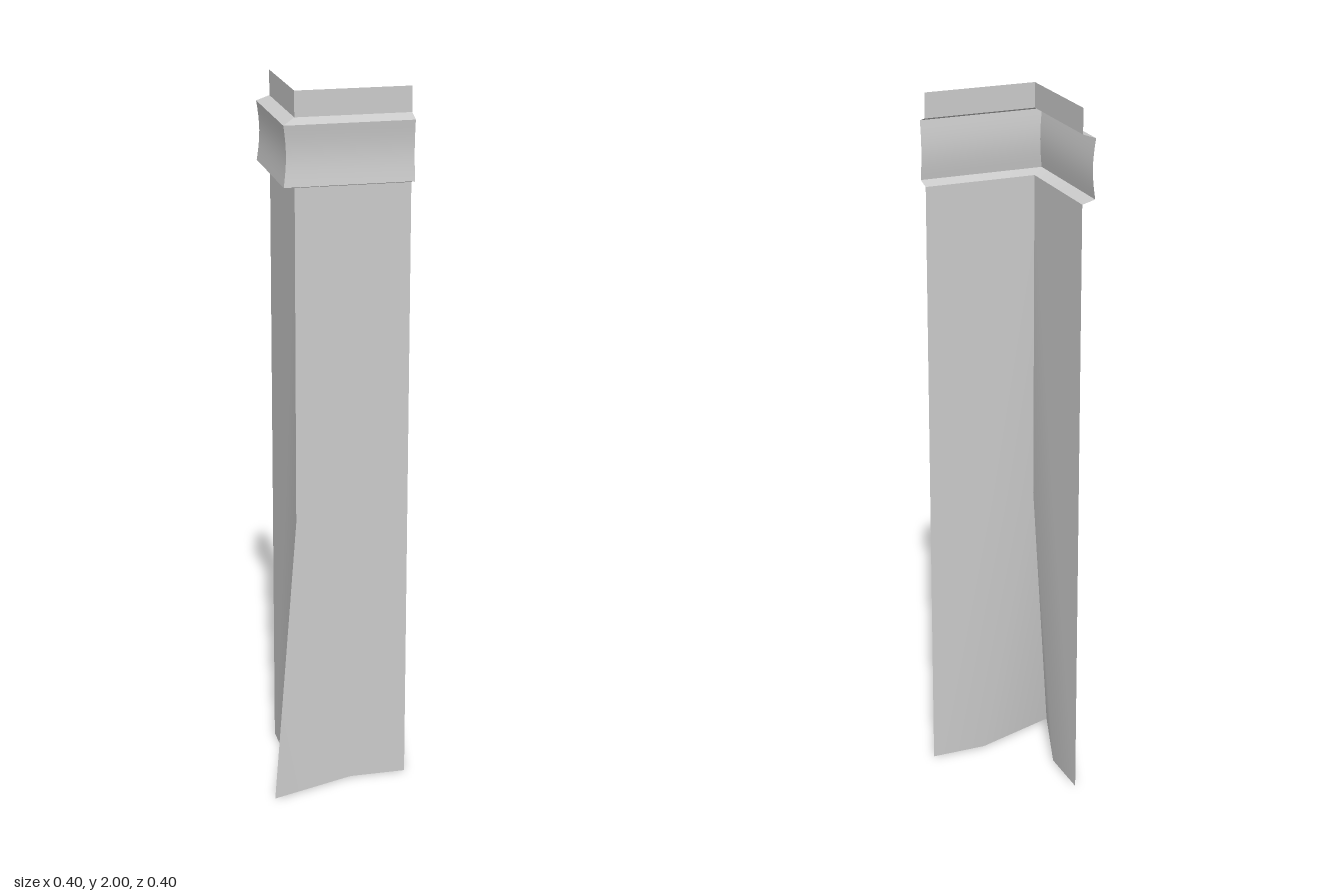
import * as THREE from 'three';
import { toCreasedNormals } from 'three/addons/utils/BufferGeometryUtils.js';

const WALL = 0.117; // distance of each wall from the centre
const RIM = 0.154;  // distance of the moulding's lips
const END = 0.2;    // free ends of the two walls
const FOLD = 0.04;  // where the flared foot begins

const material = new THREE.MeshStandardMaterial({ color: 0xcccccc, side: THREE.DoubleSide });

// Thin L-shaped skin through rows [offset, height, corner offset]
function cornerSheet(name, rows) {
  const points = rows.map(([d, y, c = d]) => [
    [-d, y, -END], [-d, y, -FOLD], [-c, y, c], [FOLD, y, d], [END, y, d],
  ]);
  const position = [];
  for (let r = 0; r < points.length - 1; r++) {
    for (let i = 0; i < 4; i++) {
      const a = points[r][i], b = points[r][i + 1];
      const c = points[r + 1][i + 1], d = points[r + 1][i];
      // diagonals mirror about the corner
      const tris = i < 2 ? [a, b, c, a, c, d] : [a, b, d, b, c, d];
      tris.forEach((p) => position.push(...p));
    }
  }
  const geometry = new THREE.BufferGeometry();
  geometry.setAttribute('position', new THREE.Float32BufferAttribute(position, 3));
  const mesh = new THREE.Mesh(toCreasedNormals(geometry, THREE.MathUtils.degToRad(25)), material);
  mesh.name = name;
  return mesh;
}

export function createModel() {
  const group = new THREE.Group();
  group.name = 'cornerPost';

  // Tall shaft whose corner flares out at the foot
  group.add(cornerSheet('shaft', [[WALL, 0, 0.2], [WALL, 0.8], [WALL, 1.743]]));

  // Projecting moulding with a shallow hollow face
  const band = [[WALL, 1.743]];
  for (let i = 0; i <= 8; i++) {
    const t = i / 8;
    band.push([RIM - 0.008 * Math.sin(Math.PI * t), 1.753 + 0.164 * t]);
  }
  band.push([WALL, 1.93]);
  group.add(cornerSheet('moulding', band));

  // Short plain neck above the moulding
  group.add(cornerSheet('neck', [[WALL, 1.93], [WALL, 2]]));

  return group;
}
